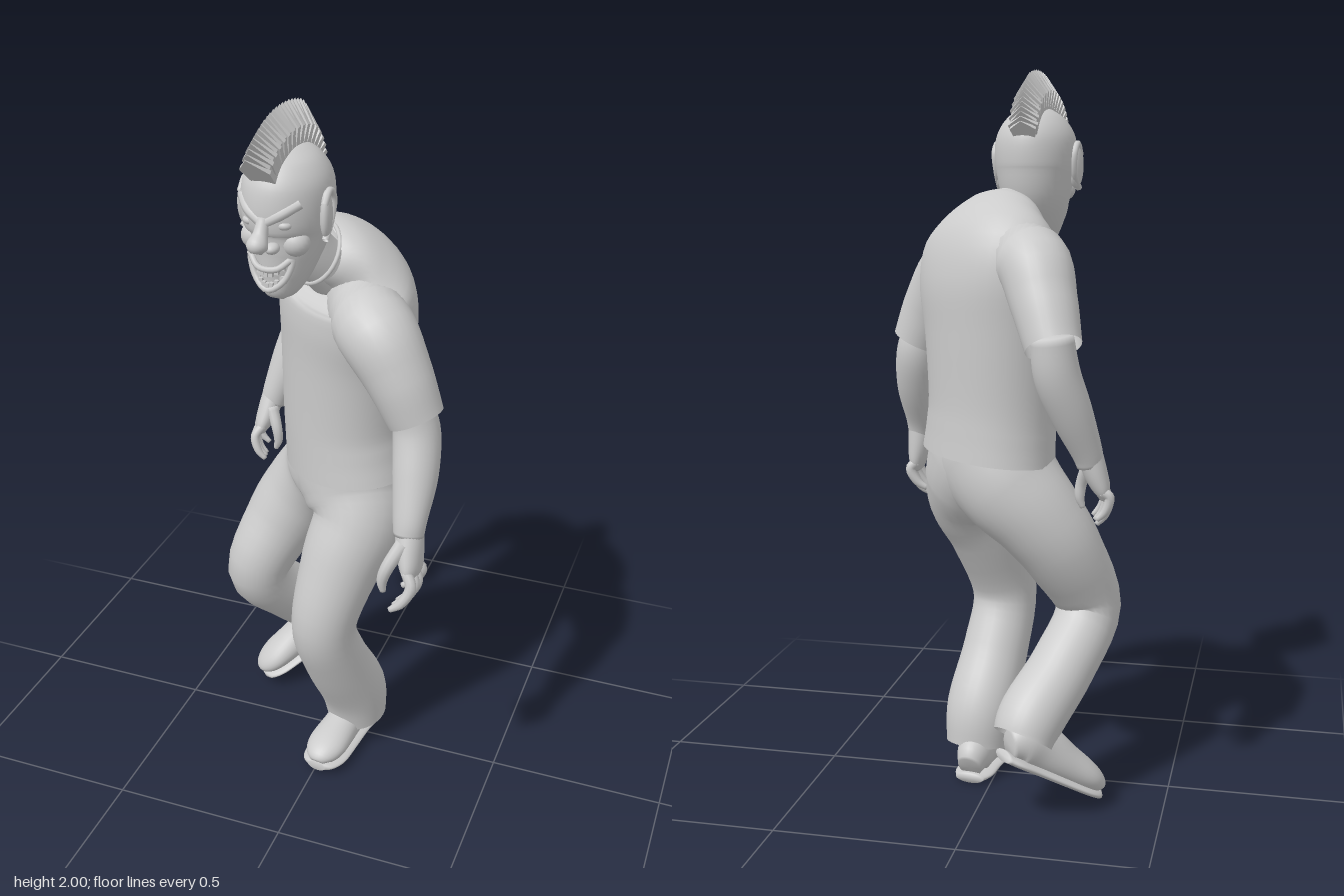
import * as THREE from 'three';

const skin = new THREE.MeshStandardMaterial({ color: 0xcccccc, side: THREE.DoubleSide });
const spiky = new THREE.MeshStandardMaterial({ color: 0xcccccc, side: THREE.DoubleSide, flatShading: true });
const DIAGONAL = [0.7, 0, 0.7]; // sideways axis of the twisted body
const SIDE = [1, 0, 0];

function add(parent, name, geometry, material = skin) {
  const mesh = new THREE.Mesh(geometry, material);
  mesh.name = name;
  parent.add(mesh);
  return mesh;
}

// Smooth skin over elliptical sections [x, y, z, halfWidth, halfDepth]
function loft(rows, { lateral = SIDE, caps = true, sides = 28, steps = 5 } = {}) {
  const path = new THREE.CatmullRomCurve3(rows.map(r => new THREE.Vector3(r[0], r[1], r[2])), false, 'catmullrom');
  const size = new THREE.CatmullRomCurve3(rows.map(r => new THREE.Vector3(r[3], r[4] ?? r[3], 0)), false, 'catmullrom');
  const n = (rows.length - 1) * steps, pos = [], index = [];
  const axis = new THREE.Vector3(...lateral);
  for (let i = 0; i <= n; i++) {
    const c = path.getPoint(i / n), t = path.getTangent(i / n), s = size.getPoint(i / n);
    const u = axis.clone().addScaledVector(t, -axis.dot(t)).normalize();
    const w = t.clone().cross(u);
    for (let j = 0; j < sides; j++) {
      const a = (j / sides) * Math.PI * 2;
      const p = c.clone().addScaledVector(u, s.x * Math.cos(a)).addScaledVector(w, s.y * Math.sin(a));
      pos.push(p.x, p.y, p.z);
      if (i < n) {
        const k = (j + 1) % sides, r = i * sides, q = r + sides;
        index.push(r + j, r + k, q + j, r + k, q + k, q + j);
      }
    }
  }
  if (caps) {
    const base = pos.length / 3, last = n * sides;
    pos.push(...path.getPoint(0).toArray(), ...path.getPoint(1).toArray());
    for (let j = 0; j < sides; j++) {
      const k = (j + 1) % sides;
      index.push(base, k, j, base + 1, last + j, last + k);
    }
  }
  const g = new THREE.BufferGeometry();
  g.setAttribute('position', new THREE.Float32BufferAttribute(pos, 3));
  g.setIndex(index);
  g.computeVertexNormals();
  return g;
}

function tube(points, radius, closed = false) {
  const curve = new THREE.CatmullRomCurve3(points.map(p => new THREE.Vector3(...p)), closed);
  return new THREE.TubeGeometry(curve, 32, radius, 8, closed);
}

function ball(parent, name, position, scale) {
  const mesh = add(parent, name, new THREE.SphereGeometry(1, 20, 14));
  mesh.position.set(...position);
  mesh.scale.set(...scale);
  return mesh;
}

// Palm, four curled fingers and a thumb; side is +1 for left
function makeHand(name, side) {
  const hand = new THREE.Group();
  hand.name = name;
  add(hand, 'palm', loft([[0, 0.02, 0, 0.038, 0.038], [0.006 * side, -0.04, 0, 0.036, 0.05],
    [0.014 * side, -0.09, 0, 0.028, 0.055], [0.014 * side, -0.118, 0, 0.015, 0.046]]));
  for (let i = 0; i < 4; i++) {
    const z = -0.039 + i * 0.026, l = i === 0 ? 0.85 : 1;
    add(hand, 'finger', loft([[0.012 * side, -0.09, z, 0.015], [0.03 * side, -0.13 * l, z * 1.2, 0.015],
      [0.01 * side, -0.175 * l, z * 1.3, 0.013], [-0.02 * side, -0.2 * l, z * 1.3, 0.008]], { sides: 10 }));
  }
  add(hand, 'thumb', loft([[-0.005 * side, -0.02, 0.03, 0.021], [-0.035 * side, -0.08, 0.045, 0.018],
    [-0.05 * side, -0.125, 0.04, 0.015], [-0.048 * side, -0.16, 0.032, 0.008]], { sides: 10 }));
  return hand;
}

// Shoe pointing along its own +z
function makeShoe(name) {
  const shoe = new THREE.Group();
  shoe.name = name;
  const rows = [[-0.1, 0.034, 0.038], [-0.06, 0.05, 0.062], [0, 0.05, 0.064], [0.08, 0.056, 0.052],
    [0.16, 0.06, 0.041], [0.205, 0.045, 0.03], [0.222, 0.02, 0.016]];
  add(shoe, 'shoeUpper', loft(rows.map(([z, a, b]) => [0, b + 0.008, z, a, b])));
  add(shoe, 'sole', loft(rows.map(([z, a]) => [0, 0.014, z * 1.03, a + 0.007, 0.014])));
  return shoe;
}

function makeHead() {
  const head = new THREE.Group();
  head.name = 'head';
  add(head, 'skull', loft([[0, -0.245, 0.068, 0.018, 0.018], [0, -0.23, 0.062, 0.038, 0.045],
    [0, -0.195, 0.042, 0.062, 0.074], [0, -0.14, 0.018, 0.085, 0.102], [0, -0.08, 0, 0.101, 0.122],
    [0, -0.02, 0, 0.112, 0.134], [0, 0.05, -0.006, 0.109, 0.128], [0, 0.1, -0.008, 0.082, 0.098],
    [0, 0.128, -0.008, 0.042, 0.052], [0, 0.136, -0.008, 0.004, 0.004]], { sides: 36 }));

  // Nose with broad nostrils
  add(head, 'nose', loft([[0, -0.02, 0.122, 0.016], [0, -0.055, 0.14, 0.019], [0, -0.08, 0.158, 0.027],
    [0, -0.096, 0.164, 0.014]]));
  for (const s of [-1, 1]) {
    ball(head, 'nostril', [s * 0.025, -0.09, 0.128], [0.018, 0.014, 0.022]);
    ball(head, 'eye', [s * 0.045, -0.034, 0.106], [0.022, 0.013, 0.018]);
    ball(head, 'cheek', [s * 0.054, -0.088, 0.068], [0.04, 0.036, 0.036]);
    add(head, 'brow', tube([[s * 0.008, -0.028, 0.126], [s * 0.045, -0.006, 0.117], [s * 0.08, 0.018, 0.085]], 0.013));
    // Ear: rim around a shallow bowl
    const ear = new THREE.Group();
    ear.name = 'ear';
    ear.position.set(s * 0.112, -0.025, 0.012);
    ear.rotation.y = s * 0.3;
    ball(ear, 'earBowl', [0, 0, 0], [0.016, 0.062, 0.03]);
    add(ear, 'earRim', tube([[0, -0.062, 0.015], [s * 0.008, -0.02, -0.022], [s * 0.014, 0.035, -0.028],
      [s * 0.008, 0.06, -0.005], [0, 0.03, 0.022]], 0.009));
    head.add(ear);
  }

  // Wide toothy grin
  add(head, 'lips', tube([[-0.06, -0.125, 0.09], [-0.03, -0.148, 0.112], [0, -0.152, 0.12], [0.03, -0.148, 0.112],
    [0.06, -0.125, 0.09], [0.042, -0.18, 0.1], [0, -0.208, 0.114], [-0.042, -0.18, 0.1]], 0.008, true));
  for (let i = -3; i <= 3; i++) {
    const upper = add(head, 'upperTooth', new THREE.BoxGeometry(0.011, 0.018, 0.01));
    upper.position.set(i * 0.0125, -0.162 + i * i * 0.0018, 0.117 - i * i * 0.0022);
    const lower = add(head, 'lowerTooth', new THREE.BoxGeometry(0.01, 0.014, 0.01));
    lower.position.set(i * 0.011, -0.196 + i * i * 0.002, 0.112 - i * i * 0.0018);
  }

  // Fan of thin pointed blades over the crown
  const crest = new THREE.Group();
  crest.name = 'mohawk';
  const blade = new THREE.Shape([[-0.034, 0], [0.034, 0], [0.042, 0.5], [0, 1], [-0.042, 0.5]]
    .map(p => new THREE.Vector2(...p)));
  for (let i = 0; i < 32; i++) {
    const f = i / 31, angle = -1.2 + f * 2.25;
    const g = new THREE.ExtrudeGeometry(blade, { depth: 0.018, bevelEnabled: false }).translate(0, 0, -0.009);
    const p = g.attributes.position;
    for (let k = 0; k < p.count; k++) p.setZ(k, p.getZ(k) * (1.1 - p.getY(k)));
    g.scale(0.88 + 0.12 * (i % 2), 0.055 + 0.06 * Math.min(1, f * 3), 1);
    const spike = add(crest, 'hairSpike', g, spiky);
    spike.position.set(-0.006, 0.02 + 0.1 * Math.cos(angle), -0.005 + 0.122 * Math.sin(angle));
    spike.rotation.x = angle * 0.8 + 0.06;
  }
  head.add(crest);
  head.position.set(-0.08, 1.77, 0.15);
  head.rotation.y = -0.12;
  return head;
}

export function createModel() {
  const model = new THREE.Group();
  model.name = 'hunchedMan';
  const body = { lateral: DIAGONAL }, cloth = { lateral: DIAGONAL, caps: false };

  // Shirt, twisted at an angle and stooping at the neck, hem higher on the left
  add(model, 'shirt', loft([[0.016, 0.96, -0.035, 0.22, 0.168], [0.01, 1.03, -0.035, 0.21, 0.166],
    [0.005, 1.12, -0.035, 0.205, 0.165], [0.008, 1.3, -0.033, 0.22, 0.168], [0.014, 1.43, -0.026, 0.245, 0.17],
    [0.012, 1.52, -0.016, 0.24, 0.152], [-0.003, 1.58, 0.02, 0.172, 0.108],
    [-0.035, 1.605, 0.075, 0.095, 0.075]], { ...cloth, sides: 40 }));
  const collar = add(model, 'collar', new THREE.TorusGeometry(0.084, 0.006, 8, 32));
  collar.position.set(-0.035, 1.605, 0.075);
  collar.lookAt(-0.065, 1.635, 0.12);
  add(model, 'neck', loft([[0, 1.53, 0.03, 0.07], [-0.045, 1.62, 0.1, 0.066], [-0.075, 1.7, 0.125, 0.068]], body));
  model.add(makeHead());

  // Left arm reaching forward
  add(model, 'leftSleeve', loft([[0.04, 1.47, 0.02, 0.075, 0.085], [0.148, 1.452, 0.15, 0.104],
    [0.225, 1.355, 0.188, 0.09], [0.28, 1.24, 0.195, 0.075]], cloth));
  add(model, 'leftForearm', loft([[0.27, 1.28, 0.2, 0.055], [0.285, 1.2, 0.2, 0.062], [0.295, 1.1, 0.235, 0.06],
    [0.298, 1.0, 0.28, 0.049, 0.045], [0.3, 0.95, 0.295, 0.04]], body));
  const leftHand = makeHand('leftHand', 1);
  leftHand.position.set(0.3, 0.955, 0.292);
  leftHand.rotation.x = -0.2;
  model.add(leftHand);

  // Right arm swung back
  add(model, 'rightSleeve', loft([[-0.03, 1.49, -0.05, 0.085, 0.095], [-0.132, 1.495, -0.182, 0.099],
    [-0.178, 1.4, -0.255, 0.088], [-0.215, 1.29, -0.314, 0.074]], cloth));
  add(model, 'rightForearm', loft([[-0.21, 1.32, -0.31, 0.055], [-0.222, 1.22, -0.3, 0.061],
    [-0.255, 1.12, -0.275, 0.056], [-0.29, 1.02, -0.245, 0.042], [-0.3, 0.98, -0.235, 0.036]], body));
  const rightHand = makeHand('rightHand', -1);
  rightHand.position.set(-0.302, 0.99, -0.235);
  rightHand.rotation.set(-0.2, 0.3, -0.15);
  rightHand.scale.setScalar(0.88);
  model.add(rightHand);

  // Trousers: both legs grow out of one shared waist
  const waist = [0.01, 1.01, -0.035, 0.2, 0.15];
  add(model, 'leftTrouserLeg', loft([waist, [0.022, 0.95, -0.025, 0.192, 0.158], [0.055, 0.88, 0.008, 0.152, 0.152],
    [0.075, 0.81, 0.05, 0.128, 0.132], [0.045, 0.7, 0.1, 0.116], [0.01, 0.51, 0.155, 0.094], [0.025, 0.35, 0.1, 0.095],
    [0.05, 0.2, 0.02, 0.1], [0.058, 0.09, -0.002, 0.09]], cloth));
  add(model, 'rightTrouserLeg', loft([waist, [-0.004, 0.95, -0.05, 0.19, 0.158], [-0.06, 0.88, -0.088, 0.145, 0.148],
    [-0.135, 0.8, -0.095, 0.122, 0.128], [-0.2, 0.7, -0.07, 0.113], [-0.265, 0.53, -0.01, 0.092],
    [-0.215, 0.39, -0.12, 0.09], [-0.15, 0.28, -0.225, 0.092], [-0.13, 0.22, -0.262, 0.085]], cloth));

  // Shoes: left nearly flat, right lifted on its toe
  const leftShoe = makeShoe('leftShoe');
  leftShoe.position.set(0.045, 0.008, 0.005);
  leftShoe.rotation.set(-0.04, -0.15, 0);
  const rightShoe = makeShoe('rightShoe');
  rightShoe.position.set(-0.152, 0.13, -0.265);
  rightShoe.lookAt(-0.342, -0.005, -0.115);
  model.add(leftShoe, rightShoe);
  return model;
}
